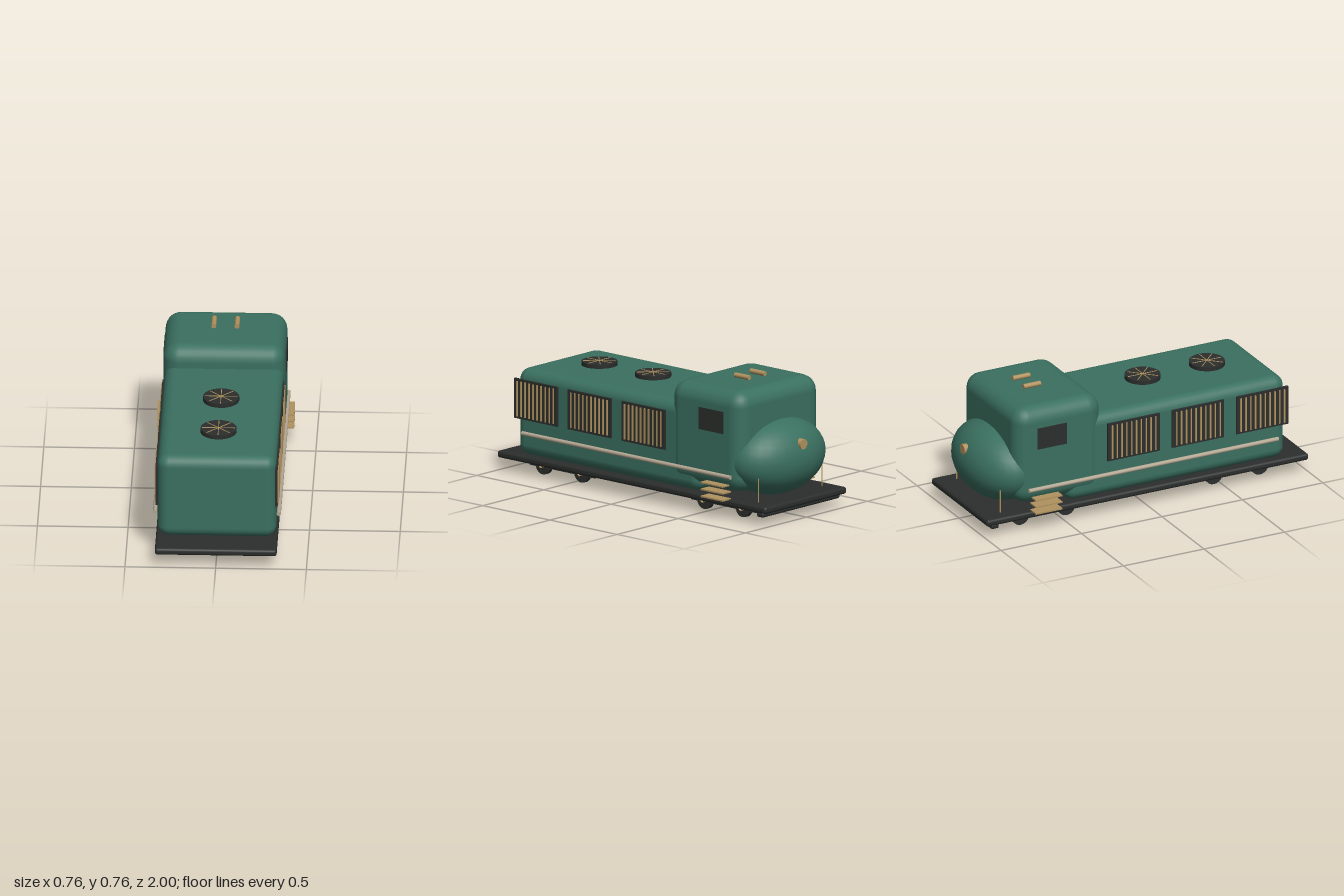
import * as THREE from 'three';
import { RoundedBoxGeometry } from 'three/addons/geometries/RoundedBoxGeometry.js';

const mat = (color) => new THREE.MeshStandardMaterial({ color });

export function createModel() {
  const model = new THREE.Group();
  model.name = 'locomotive';
  const green = mat(0x3a7060), dark = mat(0x2b2e2c), brass = mat(0xb0925f), steel = mat(0xb3a792);
  const brassOpen = mat(0xb0925f);
  brassOpen.side = THREE.DoubleSide;

  const add = (name, geometry, material, x, y, z, parent = model) => {
    const mesh = new THREE.Mesh(geometry, material);
    mesh.name = name;
    mesh.position.set(x, y, z);
    parent.add(mesh);
    return mesh;
  };
  const group = (name, x, y, z) => {
    const g = new THREE.Group();
    g.name = name;
    g.position.set(x, y, z);
    model.add(g);
    return g;
  };
  const box = (w, h, d) => new THREE.BoxGeometry(w, h, d);
  const rounded = (w, h, d, r) => new RoundedBoxGeometry(w, h, d, 3, r);
  const rodX = (r, len, n = 20, open = false) => new THREE.CylinderGeometry(r, r, len, n, 1, open).rotateZ(Math.PI / 2);
  const rodZ = (r, len, n = 16) => new THREE.CylinderGeometry(r, r, len, n).rotateX(Math.PI / 2);

  // Deck, hood, cab and nose
  add('deck', rounded(0.672, 0.039, 2, 0.015), dark, 0, 0.0925, 0);
  add('hood', rounded(0.656, 0.491, 1.365, 0.063), green, 0, 0.3575, 0.1825);
  add('cab', rounded(0.672, 0.572, 0.54, 0.088), green, 0, 0.436, -0.544);
  const nose = add('nose', new THREE.SphereGeometry(0.33, 32, 20), green, 0, 0.318, -0.775);
  nose.scale.set(1, 0.65, 0.65);
  add('headlight', rodZ(0.03, 0.05, 10), brass, 0, 0.41, -0.956);
  add('pilotBeam', rounded(0.636, 0.03, 0.05, 0.012), dark, 0, 0.06, -0.94);

  // Roof fans with radial blades
  for (const z of [0.14, 0.54]) {
    const fan = group('roofFan', 0, 0.625, z);
    add('fanHousing', new THREE.CylinderGeometry(0.1, 0.1, 0.023, 24), dark, 0, 0, 0, fan);
    for (let i = 0; i < 4; i++) {
      add('fanBlade', box(0.18, 0.004, 0.004), brass, 0, 0.012, 0, fan).rotation.y = (i * Math.PI) / 4;
    }
  }

  for (const s of [1, -1]) {
    // Horns on the cab roof
    add('horn', rodZ(0.014, 0.105), brass, s * 0.064, 0.742, -0.582);

    // Side grilles with upright slats
    for (const z of [0.71, 0.31, -0.09]) {
      const grille = group('grille', s * 0.33, 0.432, z);
      add('grillePanel', box(0.014, 0.225, 0.323), dark, 0, 0, 0, grille);
      for (let i = 0; i < 10; i++) {
        add('grilleSlat', box(0.008, 0.2, 0.008), brass, s * 0.009, 0, (i - 4.5) * 0.03, grille);
      }
    }

    // Cab window, long handrail, boarding steps and nose grab post
    add('cabWindow', box(0.012, 0.125, 0.183), dark, s * 0.334, 0.543, -0.598);
    add('sideRail', rodZ(0.012, 1.55, 12), steel, s * 0.341, 0.243, 0.03);
    for (const y of [0.113, 0.153, 0.192]) {
      add('step', box(0.07, 0.008, 0.165), brass, s * 0.343, y, -0.637);
    }
    add('grabPost', new THREE.CylinderGeometry(0.004, 0.004, 0.17, 8), brass, s * 0.26, 0.185, -0.88);
  }

  // Trucks with wheels and open hub rings
  for (const z of [0.603, -0.598]) {
    const truck = group('truck', 0, 0, z);
    add('truckFrame', box(0.47, 0.036, 0.485), dark, 0, 0.057, 0, truck);
    for (const s of [1, -1]) {
      for (const dz of [-0.143, 0.143]) {
        add('wheel', rodX(0.053, 0.026), dark, s * 0.225, 0.053, dz, truck);
        add('hubRing', rodX(0.017, 0.016, 14, true), brassOpen, s * 0.245, 0.056, dz, truck);
      }
    }
  }
  return model;
}
